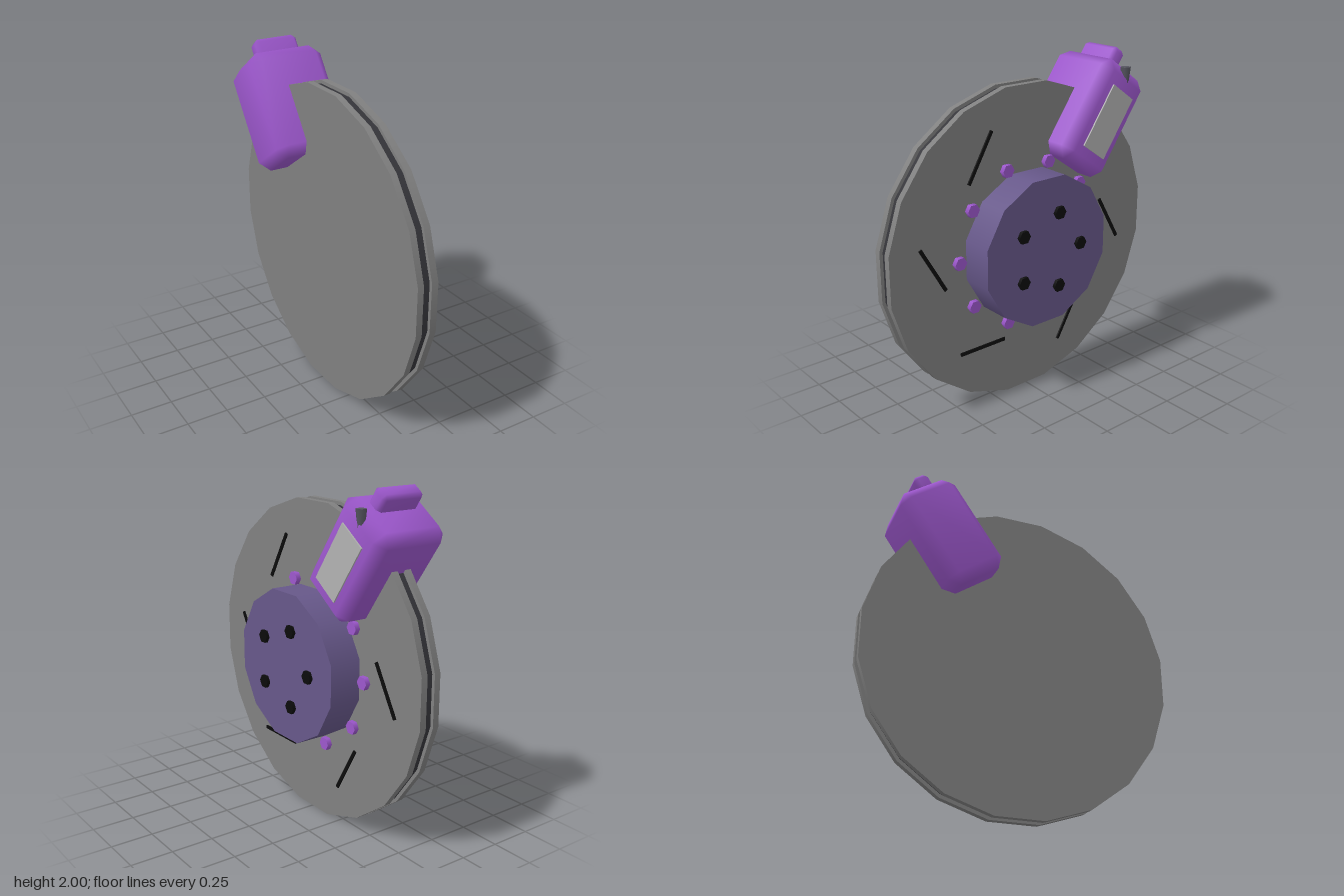
import * as THREE from 'three';
import { mergeVertices } from 'three/addons/utils/BufferGeometryUtils.js';
import { ConvexGeometry } from 'three/addons/geometries/ConvexGeometry.js';

const CY = 0.93; // axle height

function material(name, color) {
  const m = new THREE.MeshStandardMaterial({ color });
  m.name = name;
  return m;
}

// Smooth-shaded box with a single chamfer on every edge
function chamferBox(w, h, d, c) {
  const half = [w / 2, h / 2, d / 2];
  const points = [];
  for (const sx of [-1, 1]) for (const sy of [-1, 1]) for (const sz of [-1, 1]) {
    for (let axis = 0; axis < 3; axis++) {
      const p = half.map((v, i) => (i === axis ? v : v - c));
      points.push(new THREE.Vector3(p[0] * sx, p[1] * sy, p[2] * sz));
    }
  }
  const g = new ConvexGeometry(points);
  g.deleteAttribute('normal');
  const merged = mergeVertices(g, 1e-4);
  merged.computeVertexNormals();
  return merged;
}

// Cylinder along x, from x0 to x1
function discGeometry(radius, x0, x1, sides, turn = 0) {
  const g = new THREE.CylinderGeometry(radius, radius, x1 - x0, sides, 1, false, turn);
  return g.rotateZ(-Math.PI / 2).translate((x0 + x1) / 2, 0, 0);
}

export function createModel() {
  const group = new THREE.Group();
  const steel = material('discSteel', 0x808080);
  const dark = material('darkCore', 0x35353a);
  const violet = material('hubViolet', 0x67588a);
  const purple = material('caliperPurple', 0x9c57cc);
  const black = material('black', 0x0b0b0b);
  const silver = material('silver', 0xb2b2b2);
  const valveGrey = material('valveGrey', 0x55555f);

  function add(name, geometry, mat, x = 0, y = 0, z = 0, parent = group) {
    const mesh = new THREE.Mesh(geometry, mat);
    mesh.name = name;
    mesh.position.set(x, y, z);
    parent.add(mesh);
    return mesh;
  }

  // Repeats a part around the axle, first one toward -z
  function ring(name, geometry, mat, count, radius, spin = null) {
    for (let i = 0; i < count; i++) {
      const a = (i / count) * Math.PI * 2;
      const mesh = add(name, geometry, mat, 0, CY + radius * Math.sin(a), -radius * Math.cos(a));
      if (spin !== null) mesh.rotation.x = a + spin;
    }
  }

  // Vented disc: two plates around a darker core
  const turn = Math.PI / 20;
  add('outerPlate', discGeometry(0.942, 0, 0.04, 20, turn), steel, 0, CY);
  add('innerPlate', discGeometry(0.942, -0.088, -0.05, 20, turn), steel, 0, CY);
  add('ventCore', discGeometry(0.922, -0.05, 0, 20, turn), dark, 0, CY);

  // Slots in the disc face
  const slot = new THREE.BoxGeometry(0.01, 0.32, 0.02).translate(0.044, 0, 0);
  ring('discSlot', slot, black, 6, 0.66, Math.PI / 6);

  // Hub with wheel studs and the ring of mounting bolts
  add('hub', discGeometry(0.45, 0.04, 0.235, 12, Math.PI / 12), violet, 0, CY);
  ring('wheelStud', discGeometry(0.04, 0.238, 0.258, 6), black, 5, 0.235);
  ring('mountingBolt', discGeometry(0.04, 0.03, 0.07, 6), purple, 10, 0.49);

  // Caliper straddling the disc, tilted so its local y points outward
  const caliper = new THREE.Group();
  caliper.name = 'caliper';
  caliper.position.set(-0.025, 1.61, -0.471);
  caliper.rotation.x = THREE.MathUtils.degToRad(55 - 90);
  group.add(caliper);
  add('caliperBody', chamferBox(0.47, 0.636, 0.39, 0.06), purple, 0, 0, 0, caliper);
  add('caliperBridge', chamferBox(0.27, 0.2, 0.1, 0.022), purple, 0, 0.315, 0.055, caliper);
  add('caliperPlate', new THREE.BoxGeometry(0.009, 0.39, 0.19), silver, 0.24, -0.008, 0, caliper);

  // Bleed valve standing upright on the caliper corner
  const valve = new THREE.CylinderGeometry(0.031, 0.02, 0.1, 6, 1, false, Math.PI / 2);
  add('bleedValve', valve, valveGrey, 0.19, 1.85, -0.617);

  return group;
}
